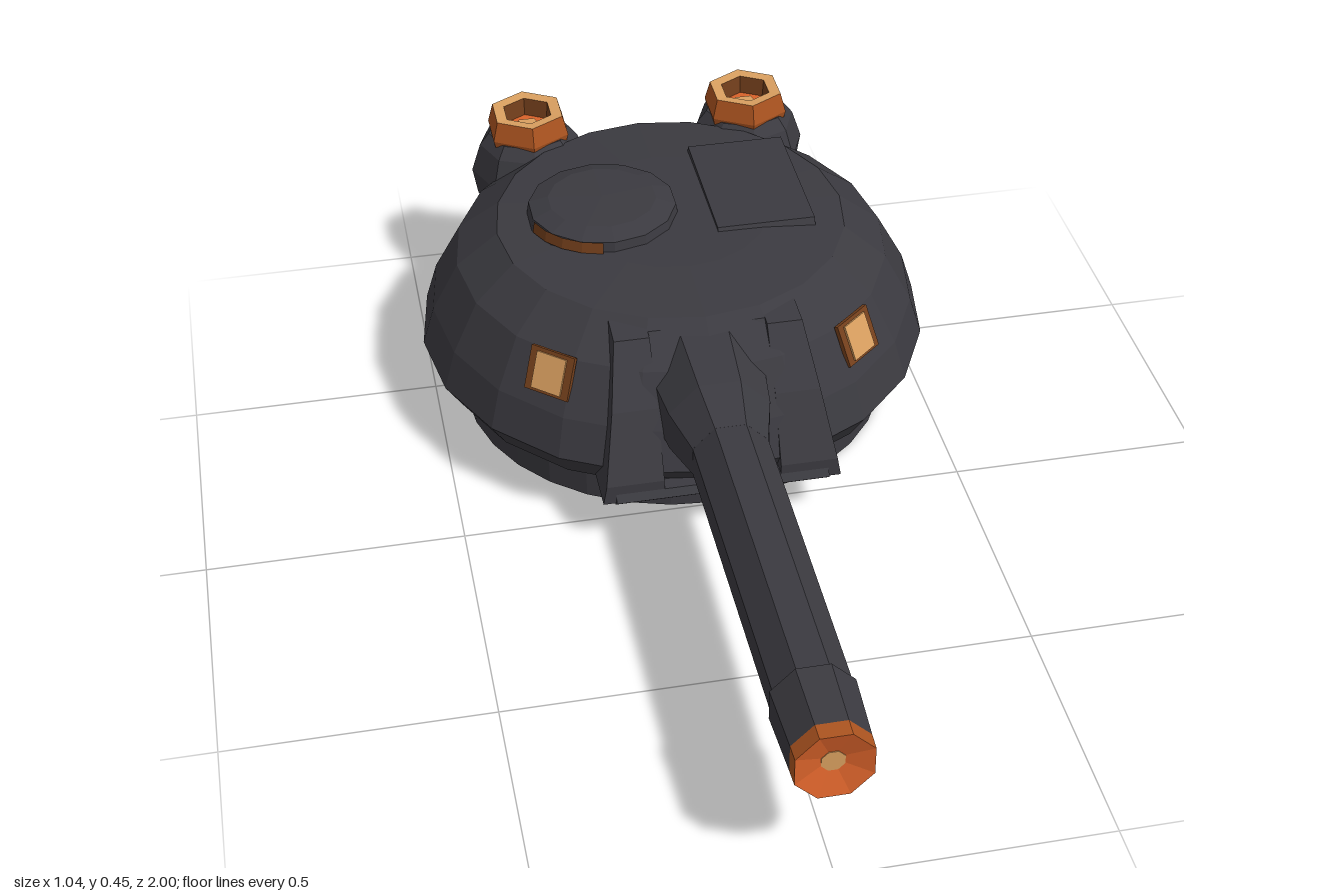
import * as THREE from 'three';

const paint = (name, color) => {
  const m = new THREE.MeshStandardMaterial({ color, flatShading: true, side: THREE.DoubleSide });
  m.name = name;
  return m;
};

export function createModel() {
  const dark = paint('darkArmour', 0x3b3a40);
  const orange = paint('brightOrange', 0xd8622a);
  const copper = paint('copper', 0xac5420);
  const rust = paint('rustFrame', 0x75401c);
  const tan = paint('lampGlow', 0xdaa060);
  const root = new THREE.Group();
  root.name = 'turret';

  const add = (name, geo, mat, x = 0, y = 0, z = 0, parent = root) => {
    const m = new THREE.Mesh(geo, mat);
    m.name = name;
    m.position.set(x, y, z);
    parent.add(m);
    return m;
  };
  const lathe = (pts, n, start, sweep) =>
    new THREE.LatheGeometry(pts.map(p => new THREE.Vector2(...p)), n, start, sweep);
  // Side profile given as [z, y], swept from x0 to x1
  const slab = (pts, x0, x1) => {
    const shape = new THREE.Shape(pts.map(p => new THREE.Vector2(...p)));
    return new THREE.ExtrudeGeometry(shape, { depth: x1 - x0, bevelEnabled: false })
      .rotateY(-Math.PI / 2).translate(x1, 0, 0);
  };

  // Hollow turret ring, open underneath, with a copper strip on its inner wall
  add('baseRing', lathe([[0.42, 0.1], [0.42, 0], [0.44, 0], [0.44, 0.1]], 32), dark, 0, 0, -0.445);
  add('innerStrip', lathe([[0.413, 0.03], [0.413, 0.07]], 5, 0.12, 0.45), copper, 0, 0, -0.445);

  // Faceted dome
  const dome = add('dome', lathe([[0.42, 0.085], [0.485, 0.095], [0.52, 0.15], [0.495, 0.23],
    [0.44, 0.33], [0.355, 0.395], [0.2, 0.405], [0, 0.407]], 20), dark, 0, 0, -0.455);
  dome.scale.z = 1.04;

  // Mantlet: two sloping cheeks around a recessed middle
  const cheek = [[-0.2, 0.39], [-0.06, 0.38], [0.02, 0.27], [0.08, 0.14], [0.08, 0.1], [-0.2, 0.1]];
  for (const s of [-1, 1]) {
    const geo = slab(cheek, s < 0 ? -0.205 : 0.115, s < 0 ? -0.115 : 0.205);
    // Flare each cheek outward toward the bottom
    const p = geo.attributes.position;
    for (let i = 0; i < p.count; i++) {
      if (Math.abs(p.getX(i)) > 0.16) p.setX(i, s * (0.235 - 0.18 * (p.getY(i) - 0.1)));
    }
    geo.computeVertexNormals();
    add('mantletCheek', geo, dark);
  }
  add('mantletCore', slab([[-0.2, 0.39], [-0.08, 0.38], [-0.01, 0.3], [0.05, 0.14], [0.05, 0.1], [-0.2, 0.1]],
    -0.12, 0.12), dark);
  add('frontLip', slab([[-0.1, 0.12], [0.08, 0.12], [0.09, 0.105], [0.07, 0.088], [-0.1, 0.088]],
    -0.21, 0.21), dark);

  // Gun, built along z from faceted sections
  const tube = (name, r0, r1, z0, z1, mat, open = false, n = 8) => {
    const g = new THREE.CylinderGeometry(r1, r0, z1 - z0, n, 1, open)
      .rotateY(Math.PI / n).rotateX(Math.PI / 2);
    return add(name, g, mat, -0.007, 0.259, (z0 + z1) / 2);
  };
  tube('gunCollar', 0.125, 0.106, -0.08, 0.08, dark);
  tube('gunCollarTaper', 0.106, 0.078, 0.08, 0.18, dark);
  tube('barrel', 0.078, 0.074, 0.16, 0.84, dark);
  tube('muzzle', 0.08, 0.074, 0.84, 0.968, dark);
  tube('muzzleRim', 0.074, 0.073, 0.968, 1, copper, true);
  tube('muzzleFace', 0.02, 0.073, 0.985, 1, orange, true);
  tube('muzzleCore', 0.022, 0.022, 0.98, 0.987, tan);

  // Thin plates lying on the dome at a heading, height and radius
  const plate = (name, yaw, y, r, pitch, w, h, mat) => {
    const m = add(name, new THREE.BoxGeometry(w, h, 0.009), mat,
      r * Math.sin(yaw), y, -0.455 + 1.04 * r * Math.cos(yaw));
    m.rotation.set(-pitch, yaw, 0, 'YXZ');
  };
  for (const s of [-1, 1]) {
    plate('frontLampFrame', s * 0.72, 0.3, 0.461, 0.4, 0.098, 0.088, rust);
    plate('frontLampLens', s * 0.72, 0.301, 0.465, 0.4, 0.066, 0.074, tan);
  }
  plate('rearLampLeft', 2.79, 0.29, 0.468, 0.45, 0.055, 0.055, tan);
  plate('rearLampRight', -2.53, 0.2, 0.512, 0.3, 0.035, 0.045, copper);

  // Rear launcher pods with hollow copper caps
  for (const s of [-1, 1]) {
    const pod = new THREE.Group();
    pod.name = 'launcherPod';
    pod.position.set(s * 0.237, 0, -0.83);
    root.add(pod);
    add('podBody', lathe([[0, 0.2], [0.075, 0.21], [0.115, 0.26], [0.125, 0.32], [0.105, 0.38],
      [0.085, 0.405], [0, 0.405]], 8), dark, 0, 0, 0, pod);
    add('podCap', lathe([[0.088, 0.395], [0.092, 0.41], [0.08, 0.452]], 6), copper, 0, 0, 0, pod);
    add('podCapLip', lathe([[0.08, 0.452], [0.054, 0.45]], 6), tan, 0, 0, 0, pod);
    add('podCapBore', lathe([[0.054, 0.45], [0.05, 0.41]], 6), rust, 0, 0, 0, pod);
    add('podCapFloor', new THREE.CylinderGeometry(0.05, 0.05, 0.006, 6), orange, 0, 0.409, 0, pod);
    add('podCapCore', new THREE.CylinderGeometry(0.028, 0.028, 0.006, 5), tan, 0, 0.414, 0, pod);
  }

  // Roof hatches, the round one with a rust edge at its front right
  add('roundHatch', lathe([[0.155, 0.395], [0.15, 0.425], [0.11, 0.438], [0, 0.442]], 14), dark, -0.135, 0, -0.48);
  add('hatchEdge', lathe([[0.158, 0.405], [0.154, 0.428]], 4, -1.25, 1.1), rust, -0.135, 0, -0.48);
  add('squareHatch', slab([[-0.68, 0.395], [-0.67, 0.418], [-0.36, 0.413], [-0.35, 0.395]], 0.08, 0.28), dark);

  return root;
}
